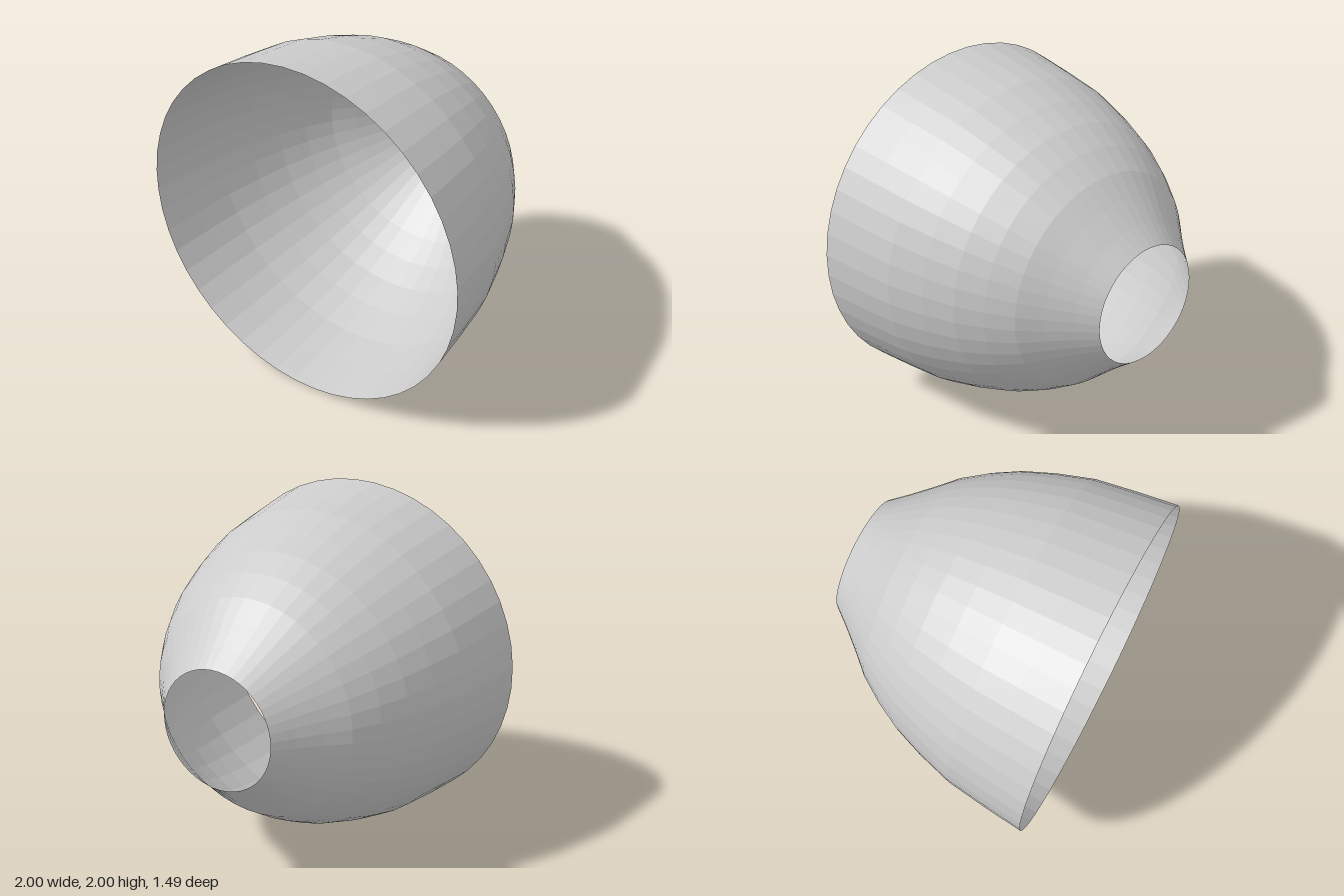
import * as THREE from 'three';

export function createModel() {
  const group = new THREE.Group();
  group.name = 'openShade';
  const sides = 48;

  // Outline from the narrow back opening to the wide front rim: [radius, z]
  const profile = [
    [0.345, -0.745], [0.43, -0.64], [0.535, -0.52], [0.637, -0.41], [0.73, -0.27],
    [0.81, -0.12], [0.878, 0.06], [0.94, 0.27], [0.972, 0.5], [1.0, 0.745],
  ].map(([r, z]) => new THREE.Vector2(r, z));

  // Thin bell-shaped shell, open at both ends, with its axis along z
  const geometry = new THREE.LatheGeometry(profile, sides, Math.PI / sides);
  geometry.rotateX(Math.PI / 2);
  geometry.translate(0, 1, 0);

  const shell = new THREE.Mesh(geometry, new THREE.MeshStandardMaterial({
    color: 0xcccccc, flatShading: true, side: THREE.DoubleSide,
  }));
  shell.name = 'shell';
  group.add(shell);
  return group;
}
